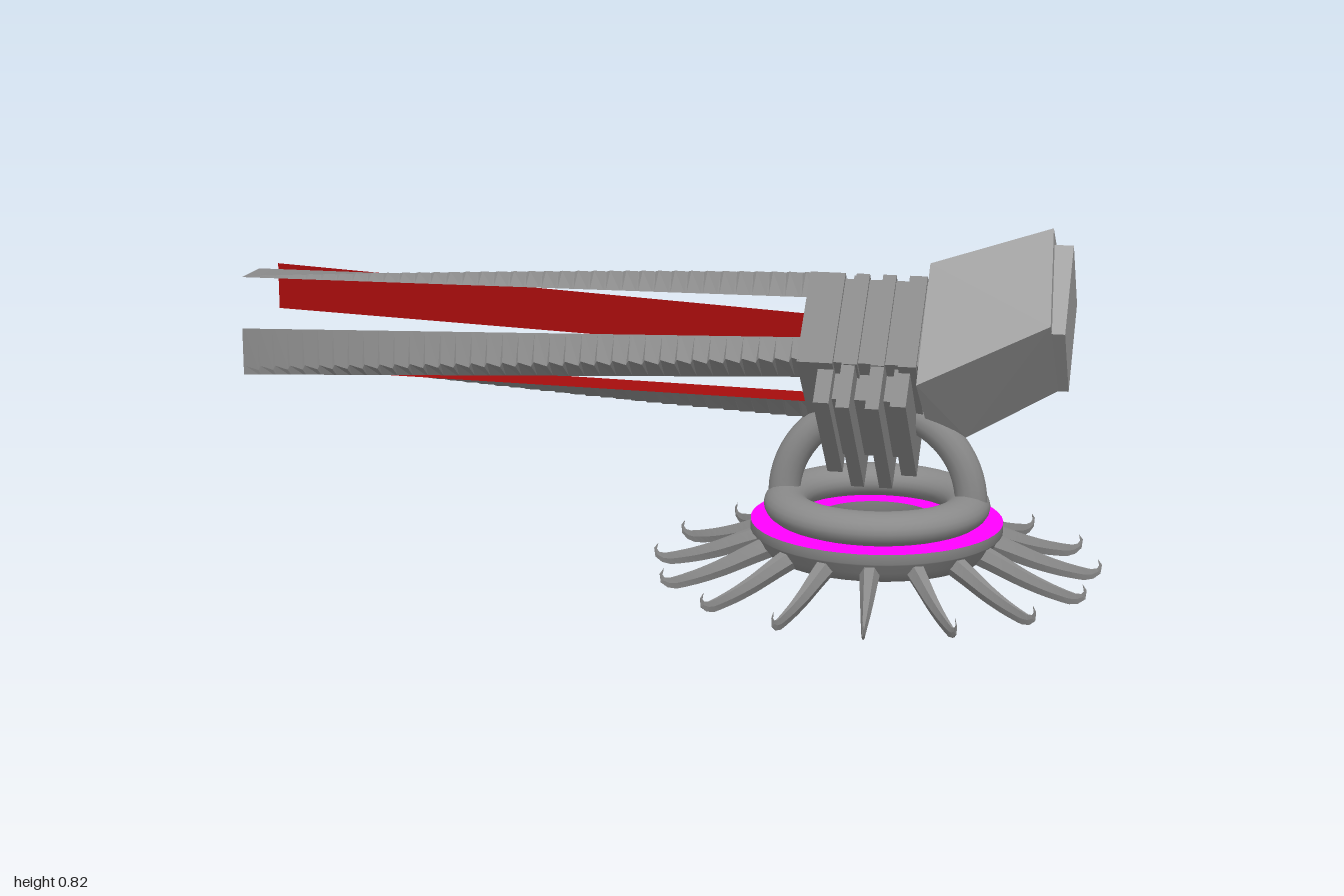
import * as THREE from 'three';
import { ConvexGeometry } from 'three/addons/geometries/ConvexGeometry.js';

const grey = new THREE.MeshStandardMaterial({ color: 0x8a8a8a });
const greyFlat = new THREE.MeshStandardMaterial({ color: 0x8a8a8a, flatShading: true });
const paleFlat = new THREE.MeshStandardMaterial({ color: 0xa4a4a4, flatShading: true });
const red = new THREE.MeshStandardMaterial({ color: 0xa60c0c, flatShading: true });
const magenta = new THREE.MeshStandardMaterial({ color: 0xff00ff });

const BASE_X = 0.48; // axis of the round base
const AXIS_Y = 0.53; // axis of the barrel

function add(parent, name, geometry, material, x = 0, y = 0, z = 0) {
  const mesh = new THREE.Mesh(geometry, material);
  mesh.name = name;
  mesh.position.set(x, y, z);
  parent.add(mesh);
  return mesh;
}

// Square plate standing on its corner, from x0 to x1
function diamond(parent, name, x0, x1, y, half, material = greyFlat) {
  const side = half * Math.SQRT2;
  const g = new THREE.BoxGeometry(x1 - x0, side, side).rotateX(Math.PI / 4);
  return add(parent, name, g, material, (x0 + x1) / 2, y, 0);
}

// Part of one rail's skin, whose section is a triangle that flattens towards the tip.
// Strips join the listed pairs of section corners: 0 = edge, 1 = ridge, 2 = other edge.
function railSkin(strips) {
  const pos = [], index = [];
  const teeth = 36, xRoot = 0.34, xTip = -1;
  const lerp = THREE.MathUtils.lerp;
  const section = (t, notch) => {
    const x = lerp(xRoot, xTip, t);
    const ridge = 0.12 + 0.047 * (1 - Math.pow(t, 1.5));
    const ridgeZ = lerp(0, 0.1, t) - notch;
    pos.push(x, 0.12, lerp(-0.045, 0, t), x, ridge, ridgeZ, x, 0.12, lerp(0.045, 0.11, t));
  };
  for (let i = 0; i < teeth; i++) {
    section(i / teeth, 0);
    section((i + 0.85) / teeth, 0.01);
  }
  section(1, 0);
  for (let s = 0; s < teeth * 2; s++) {
    for (const [i, j] of strips) {
      const a = s * 3 + i, b = s * 3 + j;
      index.push(a, a + 3, b, b, a + 3, b + 3);
    }
  }
  const g = new THREE.BufferGeometry();
  g.setAttribute('position', new THREE.Float32BufferAttribute(pos, 3));
  g.setIndex(index);
  g.computeVertexNormals();
  return g;
}

// Hook along a curved path, thinning sideways to a point
function clawGeometry() {
  const path = new THREE.CatmullRomCurve3([
    [0.23, 0.095], [0.3, 0.07], [0.37, 0.044], [0.44, 0.025],
    [0.49, 0.019], [0.511, 0.033], [0.503, 0.055],
  ].map(([r, y]) => new THREE.Vector3(r, y, 0)));
  const rings = 20, sides = 6;
  const g = new THREE.TubeGeometry(path, rings, 0.027, sides);
  const p = g.attributes.position, v = new THREE.Vector3();
  for (let i = 0; i < p.count; i++) {
    const t = Math.floor(i / (sides + 1)) / rings;
    const centre = path.getPointAt(t);
    const depth = (1 - 0.5 * t) * Math.min(1, (1 - t) / 0.18);
    v.fromBufferAttribute(p, i).sub(centre);
    v.set(v.x * depth, v.y * depth, v.z * 0.95 * (1 - t)).add(centre);
    p.setXYZ(i, v.x, v.y, v.z);
  }
  return g;
}

function buildBase() {
  const base = new THREE.Group();
  base.name = 'base';
  base.position.x = BASE_X;

  // Lower ring with a rounded underside
  const profile = [[0.14, 0.133], [0.145, 0.095], [0.165, 0.065], [0.205, 0.052], [0.25, 0.06],
    [0.272, 0.085], [0.28, 0.105], [0.288, 0.11], [0.288, 0.133]]
    .map(([r, y]) => new THREE.Vector2(r, y));
  add(base, 'lowerRing', new THREE.LatheGeometry(profile, 48), grey);
  add(base, 'glowRing', new THREE.RingGeometry(0.14, 0.288, 48).rotateX(-Math.PI / 2), magenta, 0, 0.133, 0);

  // Flattened upper ring
  const upper = new THREE.TorusGeometry(0.208, 0.05, 20, 48).rotateX(Math.PI / 2).scale(1, 0.75, 1);
  add(base, 'upperRing', upper, grey, 0, 0.169, 0);

  // Arch carrying the body
  add(base, 'arch', new THREE.TorusGeometry(0.215, 0.037, 14, 32, Math.PI), grey, 0, 0.18, 0);

  // Hooked claws around the ring
  const claw = clawGeometry();
  for (let i = 0; i < 16; i++) {
    const c = add(base, 'claw', claw, greyFlat);
    c.rotation.y = THREE.MathUtils.degToRad(5.5 + i * 22.5);
  }
  return base;
}

function buildBody() {
  const body = new THREE.Group();
  body.name = 'body';

  // Upper core with raised ribs
  diamond(body, 'core', 0.32, 0.59, AXIS_Y, 0.157);
  for (const [a, b] of [[0.32, 0.365], [0.365, 0.4], [0.425, 0.455], [0.485, 0.515], [0.545, 0.585]])
    diamond(body, 'rib', a, b, AXIS_Y, 0.17);

  // Lower stack of cooling plates
  diamond(body, 'plateCore', 0.365, 0.57, 0.45, 0.17);
  for (const [a, b, half] of [[0.365, 0.4, 0.213], [0.42, 0.45, 0.245], [0.485, 0.515, 0.245], [0.535, 0.57, 0.213]])
    diamond(body, 'coolingPlate', a, b, 0.45, half);

  // Rear block sweeping upward
  const corners = [
    [0.59, 0.73, 0], [0.59, 0.497, 0.2], [0.59, 0.497, -0.2], [0.59, 0.36, 0], [0.68, 0.335, 0],
    [0.86, 0.82, 0], [0.875, 0.638, 0.185], [0.875, 0.638, -0.185], [0.885, 0.455, 0],
  ].map((c) => new THREE.Vector3(...c));
  add(body, 'rearBlock', new ConvexGeometry(corners), paleFlat);
  diamond(body, 'rearPlate', 0.84, 0.905, 0.618, 0.165, paleFlat);
  return body;
}

function buildBarrel() {
  const barrel = new THREE.Group();
  barrel.name = 'barrel';
  barrel.position.y = AXIS_Y;
  const outer = railSkin([[0, 1], [1, 2]]), inner = railSkin([[2, 0]]);
  // Four rails in a pinwheel
  for (let k = 0; k < 4; k++) {
    const rail = new THREE.Group();
    rail.name = 'rail';
    rail.rotation.x = (k * Math.PI) / 2;
    add(rail, 'railOuter', outer, greyFlat);
    add(rail, 'railInner', inner, red);
    barrel.add(rail);
  }
  return barrel;
}

export function createModel() {
  const model = new THREE.Group();
  model.name = 'turret';
  model.add(buildBase(), buildBody(), buildBarrel());
  return model;
}
